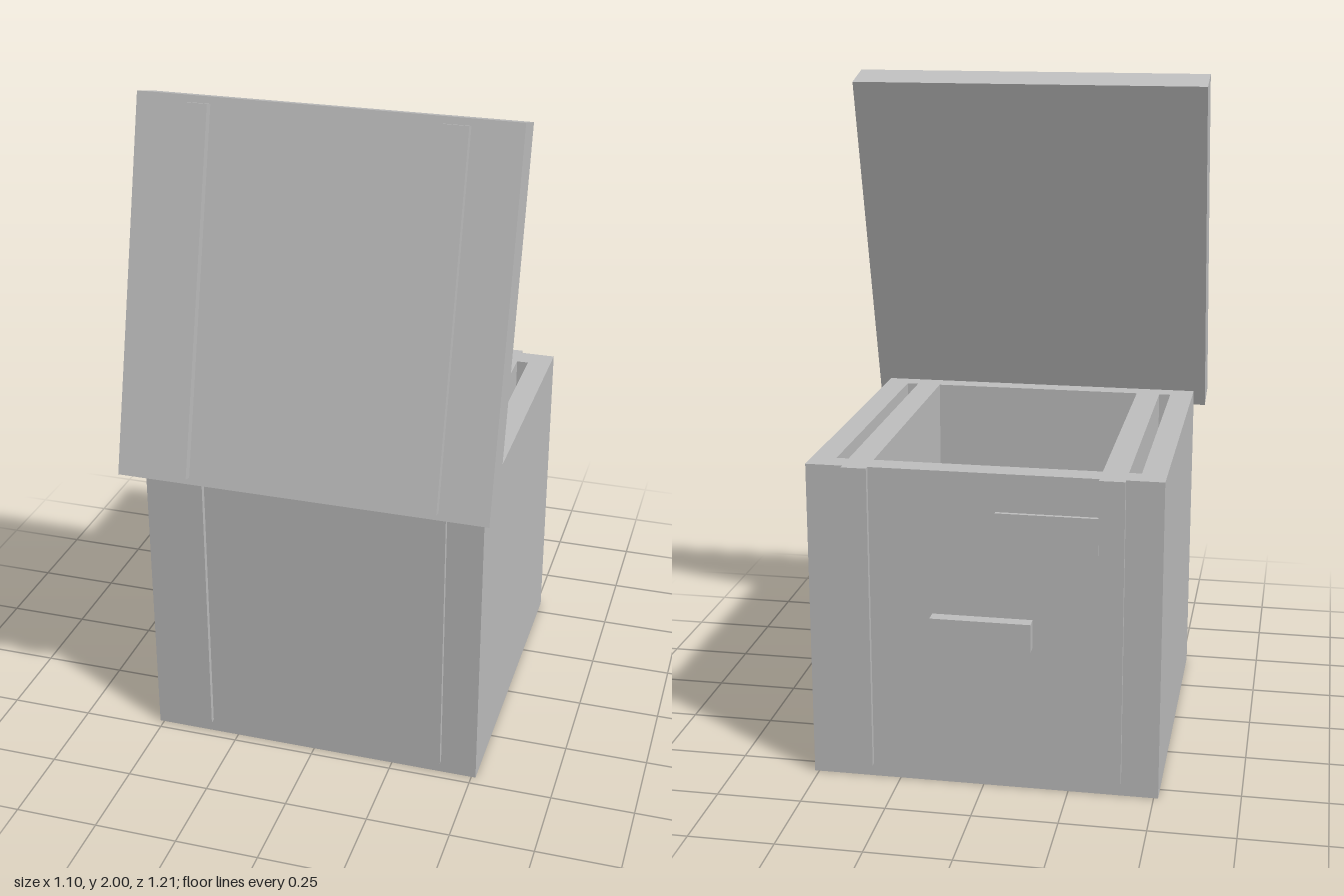
import * as THREE from 'three';

const HALF = 0.513;    // half width of the crate
const WALL = 0.072;    // wall and floor thickness
const HEIGHT = 0.957;
const STRAP_X = 0.368; // strap centre
const STRAP_W = 0.074;

export function createModel() {
  const grey = new THREE.MeshStandardMaterial({ color: 0xc0c0c0 });
  grey.name = 'plain grey';

  const root = new THREE.Group();
  root.name = 'openCrate';

  const box = (parent, name, size, pos) => {
    const mesh = new THREE.Mesh(new THREE.BoxGeometry(...size), grey);
    mesh.name = name;
    mesh.position.set(...pos);
    parent.add(mesh);
    return mesh;
  };

  // Square outline with a given half width
  const square = (path, h) => {
    path.moveTo(-h, -h);
    path.lineTo(h, -h);
    path.lineTo(h, h);
    path.lineTo(-h, h);
    path.closePath();
    return path;
  };

  // Crate body: hollow walls plus floor, set slightly back of centre
  const body = new THREE.Group();
  body.name = 'body';
  body.position.z = -0.043;
  root.add(body);

  const outline = square(new THREE.Shape(), HALF);
  outline.holes.push(square(new THREE.Path(), HALF - WALL));
  const wallGeo = new THREE.ExtrudeGeometry(outline, { depth: HEIGHT, bevelEnabled: false });
  wallGeo.rotateX(-Math.PI / 2);
  const walls = new THREE.Mesh(wallGeo, grey);
  walls.name = 'walls';
  body.add(walls);

  const inner = 2 * (HALF - WALL);
  box(body, 'floor', [inner, WALL, inner], [0, WALL / 2, 0]);

  // Straps are slabs running right through the body, front to back
  for (const side of [-1, 1]) {
    box(body, side > 0 ? 'leftStrap' : 'rightStrap',
      [STRAP_W, HEIGHT - 0.04, 1.06], [side * STRAP_X, (HEIGHT + 0.04) / 2, 0]);
  }

  // Label plate and handle on the far side
  box(root, 'labelPlate', [0.295, 0.18, 0.012], [-0.186, 0.757, -0.57]);
  box(root, 'handle', [0.292, 0.085, 0.039], [0, 0.488, -0.5855]);

  // Lid: hinged on its lower inner edge and tilted over the opening
  const lid = new THREE.Group();
  lid.name = 'lid';
  lid.position.set(0, 0.908, 0.472);
  lid.rotation.x = -THREE.MathUtils.degToRad(15);
  root.add(lid);
  box(lid, 'lidPanel', [1.1, 1.1, 0.115], [0, 0.55, 0.0575]);
  for (const side of [-1, 1]) {
    box(lid, side > 0 ? 'leftLidStrap' : 'rightLidStrap',
      [STRAP_W, 1.06, 0.07], [side * STRAP_X, 0.55, 0.108]);
  }

  return root;
}
